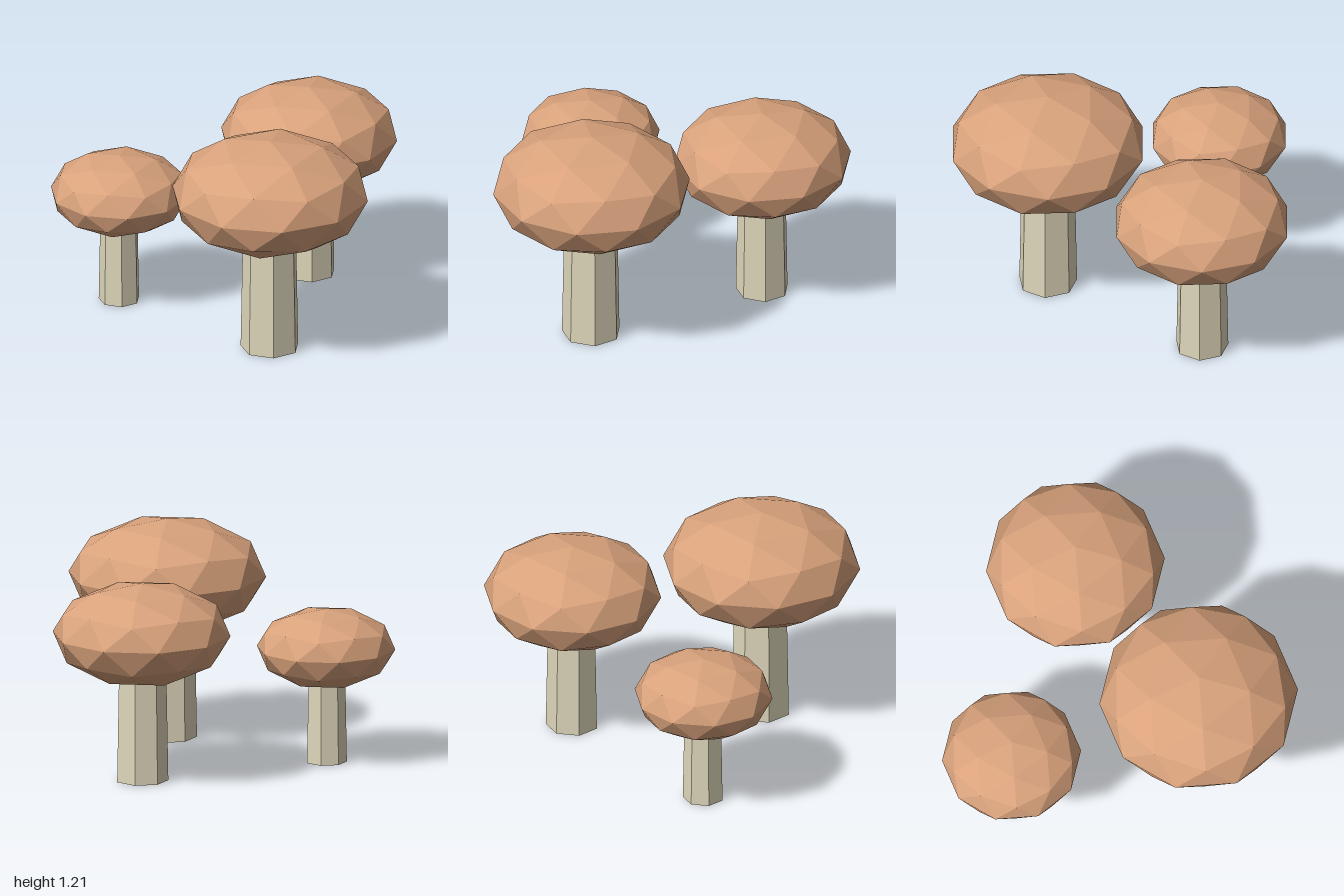
import * as THREE from 'three';

const capMaterial = new THREE.MeshStandardMaterial({ color: 0xd9a27c, flatShading: true });
capMaterial.name = 'tan cap';
const stemMaterial = new THREE.MeshStandardMaterial({ color: 0xdfd7bb, flatShading: true });
stemMaterial.name = 'cream stem';

// Faceted ball turned so one corner points straight up, then flattened
function makeCapGeometry() {
  const geometry = new THREE.IcosahedronGeometry(1, 1);
  const goldenRatio = (1 + Math.sqrt(5)) / 2;
  geometry.rotateZ(-Math.atan(1 / goldenRatio));
  geometry.scale(0.537, 0.307, 0.537);
  geometry.translate(0, 0.9, 0);
  geometry.computeVertexNormals();
  return geometry;
}

// Slightly tapered seven-sided stem standing on the ground, its top inside the cap
function makeStemGeometry() {
  const height = 0.72;
  const geometry = new THREE.CylinderGeometry(0.147, 0.16, height, 7);
  geometry.translate(0, height / 2, 0);
  return geometry;
}

export function createModel() {
  const model = new THREE.Group();
  model.name = 'mushrooms';
  const capGeometry = makeCapGeometry();
  const stemGeometry = makeStemGeometry();

  // Three copies of one mushroom at different sizes
  const mushrooms = [
    { name: 'largeMushroom', x: 0.15, z: 0.463, size: 1 },
    { name: 'mediumMushroom', x: 0.477, z: -0.517, size: 0.9 },
    { name: 'smallMushroom', x: -0.582, z: -0.272, size: 0.7 },
  ];
  for (const { name, x, z, size } of mushrooms) {
    const mushroom = new THREE.Group();
    mushroom.name = name;
    const cap = new THREE.Mesh(capGeometry, capMaterial);
    cap.name = 'cap';
    const stem = new THREE.Mesh(stemGeometry, stemMaterial);
    stem.name = 'stem';
    mushroom.add(cap, stem);
    mushroom.position.set(x, 0, z);
    mushroom.scale.setScalar(size);
    model.add(mushroom);
  }
  return model;
}
